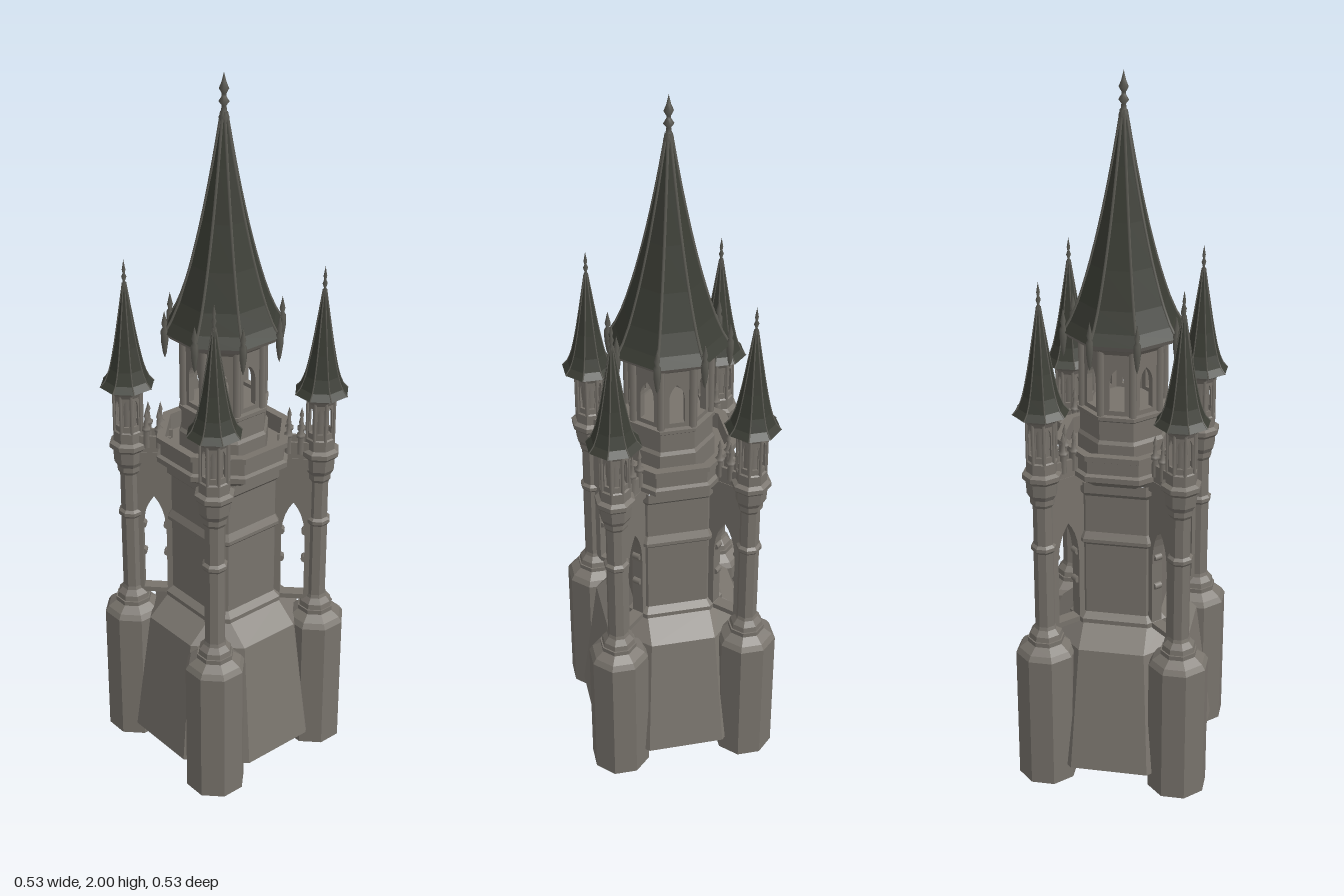
import * as THREE from 'three';

const mat = (name, color, side = THREE.FrontSide) => {
  const m = new THREE.MeshStandardMaterial({ color, side });
  m.name = name;
  return m;
};
const COS8 = Math.cos(Math.PI / 8);
const TAN8 = Math.tan(Math.PI / 8);

// Give a geometry crisp facets
function facet(geo) {
  const g = geo.index ? geo.toNonIndexed() : geo;
  g.computeVertexNormals();
  return g;
}

// Eight-sided solid from [apothem, y] pairs, flats facing the axes
function octagon(profile) {
  const pts = profile.map(([a, y]) => new THREE.Vector2(a / COS8, y));
  return facet(new THREE.LatheGeometry(pts, 8, Math.PI / 8));
}

// Round turned piece from [radius, y] pairs
function turned(profile, sides = 12) {
  return new THREE.LatheGeometry(profile.map(([r, y]) => new THREE.Vector2(r, y)), sides);
}

// Square with cut corners, lofted through [half width, half flat, y]
function cutSquare(sections) {
  const pos = [], idx = [];
  for (const [h, f, y] of sections) {
    for (const [x, z] of [[f, h], [h, f], [h, -f], [f, -h], [-f, -h], [-h, -f], [-h, f], [-f, h]]) pos.push(x, y, z);
  }
  for (let s = 0; s < sections.length - 1; s++) {
    for (let i = 0; i < 8; i++) {
      const a = s * 8 + i, b = s * 8 + (i + 1) % 8;
      idx.push(a, b, b + 8, a, b + 8, a + 8);
    }
  }
  const g = new THREE.BufferGeometry();
  g.setAttribute('position', new THREE.Float32BufferAttribute(pos, 3));
  g.setIndex(idx);
  return facet(g);
}

// Rectangular panel pierced by a pointed arch, extruded about z = 0
function archPanel(x0, x1, y0, y1, cx, half, sill, spring, apex, depth) {
  const shape = new THREE.Shape();
  shape.moveTo(x0, y0).lineTo(x1, y0).lineTo(x1, y1).lineTo(x0, y1).closePath();
  const hole = new THREE.Path();
  const mid = spring + (apex - spring) * 0.65;
  hole.moveTo(cx - half, sill).lineTo(cx - half, spring);
  hole.quadraticCurveTo(cx - half, mid, cx, apex);
  hole.quadraticCurveTo(cx + half, mid, cx + half, spring);
  hole.lineTo(cx + half, sill).closePath();
  shape.holes.push(hole);
  const g = new THREE.ExtrudeGeometry(shape, { depth, bevelEnabled: false, curveSegments: 5 });
  return g.translate(0, 0, -depth / 2);
}

export function createModel() {
  const stone = mat('stone', 0x78736c);
  const shell = mat('base stone', 0x7b766f, THREE.DoubleSide);
  const slate = mat('roof slate', 0x3b3d35);
  const lead = mat('roof ribs and finials', 0x5c5b54);

  const model = new THREE.Group();
  model.name = 'gothicTower';
  const add = (parent, name, geo, material, x = 0, y = 0, z = 0) => {
    const m = new THREE.Mesh(geo, material);
    m.name = name;
    m.position.set(x, y, z);
    parent.add(m);
    return m;
  };

  // Ring of arched panels with shafts on the corners
  function arcade(parent, name, ap, y0, y1, half, sill, spring, apex, depth, shaft) {
    const w = ap * TAN8;
    const panel = archPanel(-w, w, y0, y1, 0, half, sill, spring, apex, depth);
    const post = new THREE.CylinderGeometry(shaft, shaft, y1 - y0, 6);
    for (let i = 0; i < 8; i++) {
      const a = i * Math.PI / 4, c = a + Math.PI / 8, r = ap / COS8;
      const p = add(parent, name + 'Window', panel, stone, Math.sin(a) * (ap - depth / 2), 0, Math.cos(a) * (ap - depth / 2));
      p.rotation.y = a;
      add(parent, name + 'Shaft', post, stone, Math.sin(c) * r, (y0 + y1) / 2, Math.cos(c) * r);
    }
  }

  // Eight-sided roof with a raised rib along every hip
  function roof(parent, name, profile, rib) {
    add(parent, name, octagon([[0, profile[0][1] + 0.002], ...profile]), slate);
    for (let i = 0; i < 8; i++) {
      const a = Math.PI / 8 + i * Math.PI / 4;
      const pts = profile.map(([r, y]) => new THREE.Vector3(Math.sin(a) * r / COS8, y, Math.cos(a) * r / COS8));
      add(parent, name + 'Rib', new THREE.TubeGeometry(new THREE.CatmullRomCurve3(pts), 14, rib, 5), lead);
    }
  }

  // Battered base and the main shaft
  add(model, 'base', cutSquare([[0.245, 0.11, 0.05], [0.2, 0.092, 0.42], [0.135, 0.09, 0.475]]), shell);
  add(model, 'shaft', cutSquare([
    [0.138, 0.092, 0.46], [0.138, 0.092, 0.485], [0.12, 0.085, 0.5], [0.12, 0.085, 0.715],
    [0.13, 0.09, 0.725], [0.13, 0.09, 0.735], [0.12, 0.085, 0.755], [0.12, 0.085, 0.865],
    [0.135, 0.085, 0.88], [0.135, 0.085, 0.91],
  ]), stone);

  // Balcony with a hollow parapet
  add(model, 'balcony', octagon([
    [0.13, 0.9], [0.155, 0.92], [0.178, 0.935], [0.178, 0.95], [0.168, 0.955], [0.168, 0.99],
    [0.178, 0.995], [0.178, 1.01], [0.155, 1.01], [0.155, 0.96], [0.09, 0.96],
  ]), stone);

  // Lantern storey
  add(model, 'lanternFoot', octagon([
    [0.118, 0.95], [0.118, 1.02], [0.112, 1.03], [0.112, 1.085], [0.118, 1.09], [0.118, 1.1], [0.08, 1.105], [0, 1.105],
  ]), stone);
  arcade(model, 'lantern', 0.105, 1.1, 1.29, 0.021, 1.115, 1.185, 1.235, 0.018, 0.011);
  add(model, 'cornice', octagon([
    [0, 1.275], [0.105, 1.275], [0.118, 1.29], [0.14, 1.3], [0.148, 1.315], [0.12, 1.32],
  ]), stone);

  // Main spire and its finial
  roof(model, 'spire', [
    [0.152, 1.315], [0.135, 1.345], [0.113, 1.4], [0.084, 1.5], [0.056, 1.62], [0.029, 1.76], [0.006, 1.9],
  ], 0.004);
  add(model, 'spireFinial', turned([
    [0.009, 1.87], [0.014, 1.885], [0.008, 1.9], [0.006, 1.915], [0.014, 1.925], [0.006, 1.938],
    [0.006, 1.945], [0.013, 1.958], [0.006, 1.975], [0, 2],
  ], 8), lead);

  // Small pinnacles on the eave corners
  const eavePin = turned([[0, -0.06], [0.005, -0.045], [0.01, -0.01], [0.01, 0.02], [0.005, 0.028], [0.008, 0.04], [0, 0.075]], 6);
  for (let i = 0; i < 8; i++) {
    const a = Math.PI / 8 + i * Math.PI / 4;
    add(model, 'eavePinnacle', eavePin, lead, Math.sin(a) * 0.164, 1.305, Math.cos(a) * 0.164);
  }

  // Corner turrets
  for (const sx of [-1, 1]) for (const sz of [-1, 1]) {
    const t = new THREE.Group();
    t.name = 'cornerTurret';
    t.position.set(sx * 0.188, 0, sz * 0.186);
    model.add(t);
    add(t, 'turretBase', octagon([[0, 0], [0.079, 0], [0.079, 0.405], [0.07, 0.42], [0.048, 0.437], [0.048, 0.45], [0, 0.455]]), stone);
    add(t, 'turretColumn', octagon([
      [0.046, 0.44], [0.042, 0.465], [0.03, 0.48], [0.027, 0.49], [0.027, 0.72], [0.033, 0.728],
      [0.033, 0.738], [0.026, 0.745], [0.026, 0.86], [0.032, 0.87], [0.032, 0.885], [0.04, 0.9],
      [0.042, 0.935], [0.051, 0.945], [0.051, 0.958], [0.04, 0.965], [0.04, 0.995], [0.034, 1], [0, 1],
    ]), stone);
    arcade(t, 'turret', 0.036, 0.995, 1.12, 0.0075, 1.015, 1.07, 1.095, 0.006, 0.0045);
    add(t, 'turretCore', new THREE.CylinderGeometry(0.022, 0.022, 0.13, 8), stone, 0, 1.06, 0);
    add(t, 'turretCornice', octagon([[0.035, 1.1], [0.042, 1.115], [0.058, 1.128], [0.058, 1.136], [0.03, 1.14]]), stone);
    roof(t, 'turretRoof', [[0.07, 1.132], [0.056, 1.15], [0.044, 1.185], [0.031, 1.25], [0.017, 1.34], [0.004, 1.43]], 0.002);
    add(t, 'turretFinial', turned([
      [0.004, 1.41], [0.007, 1.425], [0.003, 1.435], [0.007, 1.447], [0.003, 1.457], [0.005, 1.467], [0, 1.495],
    ], 6), lead);
  }

  // Arched bridges joining the shaft to the turrets
  const bridgeArch = archPanel(0.135, 0.255, 0.47, 0.91, 0.196, 0.034, 0.485, 0.67, 0.79, 0.034);
  const pinnacle = turned([
    [0.009, 0], [0.009, 0.05], [0.013, 0.053], [0.013, 0.06], [0.007, 0.065], [0.004, 0.09], [0.007, 0.096], [0, 0.12],
  ], 6);
  for (let i = 0; i < 4; i++) {
    const b = new THREE.Group();
    b.name = 'archedBridge';
    b.rotation.y = Math.PI / 4 + i * Math.PI / 2;
    model.add(b);
    add(b, 'bridgeArch', bridgeArch, stone);
    add(b, 'bridgeDeck', new THREE.BoxGeometry(0.13, 0.035, 0.055), stone, 0.195, 0.918, 0);
    for (const s of [-1, 1]) {
      add(b, 'bridgeParapet', new THREE.BoxGeometry(0.1, 0.05, 0.008), stone, 0.195, 0.96, s * 0.022);
      for (const x of [0.178, 0.212]) add(b, 'bridgePinnacle', pinnacle, stone, x, 0.95, s * 0.022);
    }
    // Cusps inside the arch
    for (const s of [-1, 1]) for (const y of [0.6, 0.69]) {
      const cusp = add(b, 'archCusp', new THREE.CylinderGeometry(0.01, 0.01, 0.022, 8), stone, 0.196 + s * 0.034, y, 0);
      cusp.rotation.x = Math.PI / 2;
    }
  }
  return model;
}
